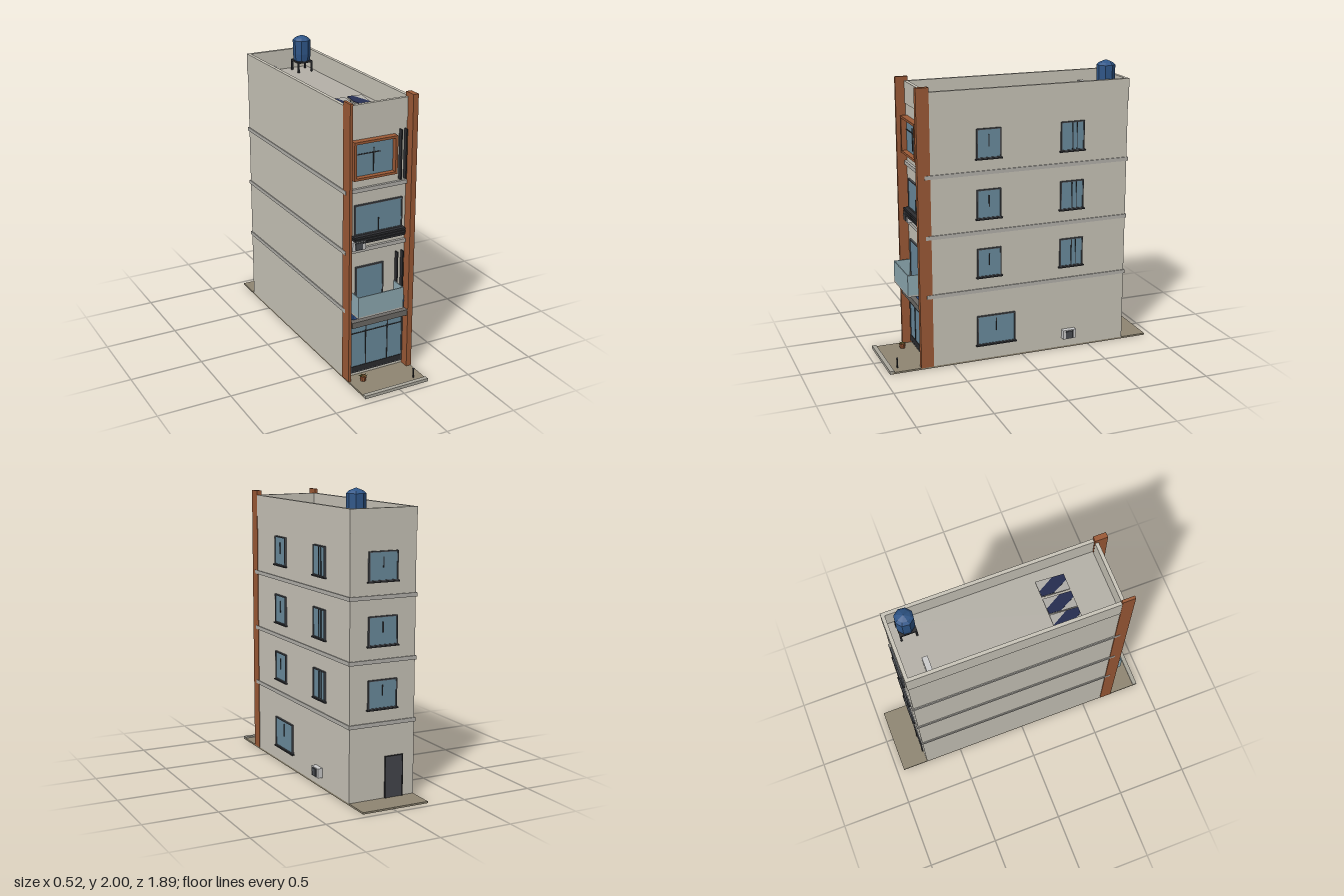
import * as THREE from 'three';

const mat = (color) => new THREE.MeshStandardMaterial({ color, flatShading: true });
const M = {
  wall: mat(0xc9c5b9), roof: mat(0xb5b1a8), ledge: mat(0xb4b2ac), brown: mat(0x9c5a36),
  frame: mat(0x4a4d52), dark: mat(0x2c2d30), glass: mat(0x6b8c9e), pale: mat(0x8fabb3),
  ground: mat(0x8f8672), curb: mat(0xaaa79c), blue: mat(0x2f5590), tank: mat(0x2f5688),
  navy: mat(0x262e52), grey: mat(0xcccccc), canopy: mat(0x6d6a66), leaf: mat(0x4c6b35), door: mat(0x44464c),
};

// Box given by its extents on each axis
function box(parent, name, material, [x0, x1], [y0, y1], [z0, z1]) {
  const m = new THREE.Mesh(new THREE.BoxGeometry(x1 - x0, y1 - y0, z1 - z0), material);
  m.position.set((x0 + x1) / 2, (y0 + y1) / 2, (z0 + z1) / 2);
  m.name = name;
  parent.add(m);
  return m;
}

// Rectangular border of four bars, facing +z
function border(g, name, material, w, h, t, z0, z1) {
  for (const s of [-1, 1]) {
    const a = [s * w / 2, s * (w / 2 - t)].sort((p, q) => p - q);
    const b = [s * h / 2, s * (h / 2 - t)].sort((p, q) => p - q);
    box(g, name, material, a, [-h / 2, h / 2], [z0, z1]);
    box(g, name, material, [-w / 2 + t, w / 2 - t], b, [z0, z1]);
  }
}

// Window centred on its origin, facing +z; bars are [x0, x1, y0, y1]
function makeWindow(name, w, h, { bars = [], sill = true, frame = M.frame, t = 0.008, depth = 0.01 } = {}) {
  const g = new THREE.Group();
  g.name = name;
  box(g, 'pane', M.glass, [-w / 2 + t, w / 2 - t], [-h / 2 + t, h / 2 - t], [-0.004, 0.005]);
  border(g, 'windowFrame', frame, w, h, t, -0.004, depth);
  for (const [a, b, c, d] of bars) box(g, 'glazingBar', M.dark, [a, b], [c, d], [0, 0.009]);
  if (sill) box(g, 'sill', M.dark, [-w / 2 - 0.008, w / 2 + 0.008], [-h / 2 - 0.007, -h / 2 + 0.002], [-0.004, 0.016]);
  return g;
}

// Air conditioner facing +z
function makeCooler(name, w, h, d) {
  const g = new THREE.Group();
  g.name = name;
  box(g, 'coolerCase', M.grey, [-w / 2, w / 2], [-h / 2, h / 2], [0, d]);
  border(g, 'coolerRim', M.frame, h * 0.85, h * 0.85, 0.004, d, d + 0.004);
  box(g, 'coolerGrille', M.frame, [-w * 0.3, w * 0.2], [-h * 0.36, h * 0.36], [d, d + 0.007]);
  return g;
}

export function createModel() {
  const root = new THREE.Group();
  const X = [-0.255, 0.217], Z = [-0.765, 0.66];
  const place = (o, x, y, z, ry = 0) => {
    o.position.set(x, y, z);
    o.rotation.y = ry;
    root.add(o);
    return o;
  };

  // Plot and curb
  box(root, 'pavement', M.ground, X, [0, 0.012], [-0.95, 0.93]);
  box(root, 'curb', M.curb, X, [0, 0.022], [0.915, 0.945]);

  // Main block, roof and parapet
  box(root, 'walls', M.wall, X, [0.012, 1.73], Z);
  box(root, 'roofDeck', M.roof, [-0.236, 0.198], [1.72, 1.742], [-0.745, 0.64]);
  for (const x of [[-0.258, -0.234], [0.196, 0.22]]) box(root, 'sideParapet', M.wall, x, [1.73, 1.88], [-0.77, 0.665]);
  for (const z of [[-0.77, -0.746], [0.641, 0.665]]) box(root, 'endParapet', M.wall, [-0.234, 0.196], [1.73, 1.88], z);

  // Floor bands and corner pillars
  for (const y of [0.51, 0.918, 1.325]) box(root, 'floorBand', M.ledge, [-0.262, 0.224], [y - 0.013, y + 0.013], [-0.773, 0.678]);
  box(root, 'rightPillar', M.brown, [-0.26, -0.24], [0.012, 1.91], [0.64, 0.727]);
  box(root, 'leftPillar', M.brown, [0.184, 0.221], [0.012, 1.91], [0.64, 0.727]);

  // Left side windows
  for (const y of [0.705, 1.112, 1.52]) {
    place(makeWindow('sideWindow', 0.17, 0.2, { bars: [[-0.003, 0.003, -0.02, 0.06]] }), 0.22, y, 0.24, Math.PI / 2);
    place(makeWindow('sideWindow', 0.17, 0.2, { bars: [[-0.003, 0.003, -0.092, 0.092], [0.03, 0.033, -0.092, 0.092]] }),
      0.22, y, -0.357, Math.PI / 2);
  }
  place(makeWindow('groundWindow', 0.275, 0.21, { bars: [[-0.003, 0.003, -0.01, 0.08]] }), 0.22, 0.222, 0.192, Math.PI / 2);
  place(makeCooler('sideCooler', 0.095, 0.065, 0.035), 0.217, 0.108, -0.343, Math.PI / 2);

  // Back windows and door
  for (const y of [0.705, 1.112, 1.52])
    place(makeWindow('backWindow', 0.21, 0.19, { bars: [[-0.003, 0.003, -0.01, 0.06]] }), -0.015, y, -0.768, Math.PI);
  box(root, 'backDoor', M.door, [-0.165, -0.045], [0.012, 0.285], [-0.772, -0.76]);
  for (const x of [[-0.171, -0.165], [-0.045, -0.039]]) box(root, 'backDoorJamb', M.dark, x, [0.012, 0.291], [-0.776, -0.76]);
  box(root, 'backDoorHead', M.dark, [-0.165, -0.045], [0.285, 0.291], [-0.776, -0.76]);

  // Shop front
  const shop = makeWindow('shopFront', 0.397, 0.355, {
    sill: false,
    bars: [[-0.085, -0.079, -0.17, 0.17], [0.079, 0.085, -0.17, 0.17], [-0.19, 0.19, 0.11, 0.116], [-0.192, 0.192, -0.172, -0.132]],
  });
  place(shop, -0.019, 0.213, 0.664);
  box(root, 'canopy', M.canopy, [-0.23, 0.184], [0.395, 0.435], [0.655, 0.722]);
  box(root, 'signBoard', M.blue, [-0.21, 0.175], [0.44, 0.498], [0.655, 0.69]);
  box(root, 'signStripe', M.navy, [-0.155, 0.115], [0.465, 0.482], [0.69, 0.695]);

  // Balcony and its door
  place(makeWindow('balconyDoor', 0.205, 0.305, { sill: false }), -0.078, 0.647, 0.664);
  box(root, 'balconyFloor', M.ledge, [-0.22, 0.115], [0.488, 0.5], [0.655, 0.778]);
  box(root, 'balconyGlass', M.pale, [-0.22, 0.115], [0.5, 0.64], [0.771, 0.778]);
  for (const x of [[-0.22, -0.214], [0.109, 0.115]]) box(root, 'balconySideGlass', M.pale, x, [0.5, 0.64], [0.665, 0.771]);

  // Third storey window with planter rail
  place(makeWindow('wideWindow', 0.348, 0.205, { sill: false, bars: [[-0.003, 0.003, -0.095, -0.005]] }), -0.017, 1.123, 0.664);
  for (let i = 0; i < 3; i++) box(root, 'railSlat', M.dark, [-0.205, 0.165], [0.971 + i * 0.018, 0.985 + i * 0.018], [0.66, 0.702]);
  box(root, 'railBack', M.frame, [-0.2, 0.16], [0.972, 1.02], [0.655, 0.69]);
  place(makeCooler('frontCooler', 0.095, 0.06, 0.04), -0.173, 0.96, 0.66);

  // Top storey window in a deep surround
  place(makeWindow('topWindow', 0.31, 0.252, {
    sill: false, frame: M.brown, t: 0.016, depth: 0.041,
    bars: [[-0.003, 0.003, -0.09, 0.064], [-0.138, 0.05, 0.03, 0.036]],
  }), -0.06, 1.528, 0.664);

  // Vertical facade fins
  for (const [x, y0, y1] of [[0.132, 1.35, 1.68], [0.168, 1.35, 1.68], [0.12, 0.535, 0.85], [0.162, 0.535, 0.85]])
    box(root, 'facadeFin', M.dark, [x - 0.004, x + 0.004], [y0, y1], [0.655, 0.69]);

  // Water tank on a stand
  const profile = [[0, 0], [0.057, 0], [0.063, 0.05], [0.063, 0.145], [0.045, 0.162], [0, 0.18]].map(([r, y]) => new THREE.Vector2(r, y));
  const tank = place(new THREE.Mesh(new THREE.LatheGeometry(profile, 8), M.tank), 0.112, 1.82, -0.645, 0.3);
  tank.name = 'waterTank';
  box(root, 'tankPlatform', M.dark, [0.054, 0.168], [1.808, 1.82], [-0.702, -0.588]);
  for (const x of [0.06, 0.162]) for (const z of [-0.696, -0.594])
    box(root, 'tankLeg', M.dark, [x - 0.006, x + 0.006], [1.742, 1.81], [z - 0.006, z + 0.006]);

  // Roof unit
  box(root, 'roofUnit', M.grey, [-0.21, -0.115], [1.742, 1.81], [-0.622, -0.585]);

  // Solar panels
  const cells = new THREE.Shape([[-0.052, 0.096], [-0.015, 0.096], [0.052, -0.015], [0.052, -0.096], [0.01, -0.096], [-0.052, 0.015]]
    .map(([x, y]) => new THREE.Vector2(x, y)));
  for (const x of [-0.183, -0.067, 0.058]) {
    const panel = new THREE.Group();
    panel.name = 'solarPanel';
    box(panel, 'panelFrame', M.ledge, [-0.055, 0.055], [-0.004, 0.004], [-0.098, 0.098]);
    const face = new THREE.Mesh(new THREE.ExtrudeGeometry(cells, { depth: 0.004, bevelEnabled: false }), M.navy);
    face.name = 'panelCells';
    face.rotation.x = -Math.PI / 2;
    face.position.y = 0.003;
    panel.add(face);
    place(panel, x, 1.768, 0.308).rotation.x = 0.15;
    for (const s of [-0.04, 0.04]) box(root, 'panelLeg', M.frame, [x + s - 0.003, x + s + 0.003], [1.742, 1.778], [0.23, 0.236]);
  }

  // Plant pot by the entrance
  const pot = place(new THREE.Mesh(new THREE.CylinderGeometry(0.024, 0.018, 0.034, 8), M.brown), -0.163, 0.029, 0.75);
  pot.name = 'plantPot';
  for (let i = 0; i < 6; i++) {
    const a = i * Math.PI / 3;
    const leaf = new THREE.Mesh(new THREE.ConeGeometry(0.005, 0.036, 4), M.leaf);
    leaf.name = 'leaf';
    leaf.rotation.set(Math.cos(a) * 1.3, 0, -Math.sin(a) * 1.3);
    place(leaf, -0.163 + Math.sin(a) * 0.018, 0.047, 0.75 + Math.cos(a) * 0.018).rotation.y = 0;
  }

  // Bollard on the pavement
  const bollard = place(new THREE.Mesh(new THREE.CylinderGeometry(0.005, 0.006, 0.06, 8), M.dark), 0.147, 0.042, 0.875);
  bollard.name = 'bollard';
  place(new THREE.Mesh(new THREE.SphereGeometry(0.008, 8, 6), M.dark), 0.147, 0.076, 0.875).name = 'bollardCap';

  return root;
}
